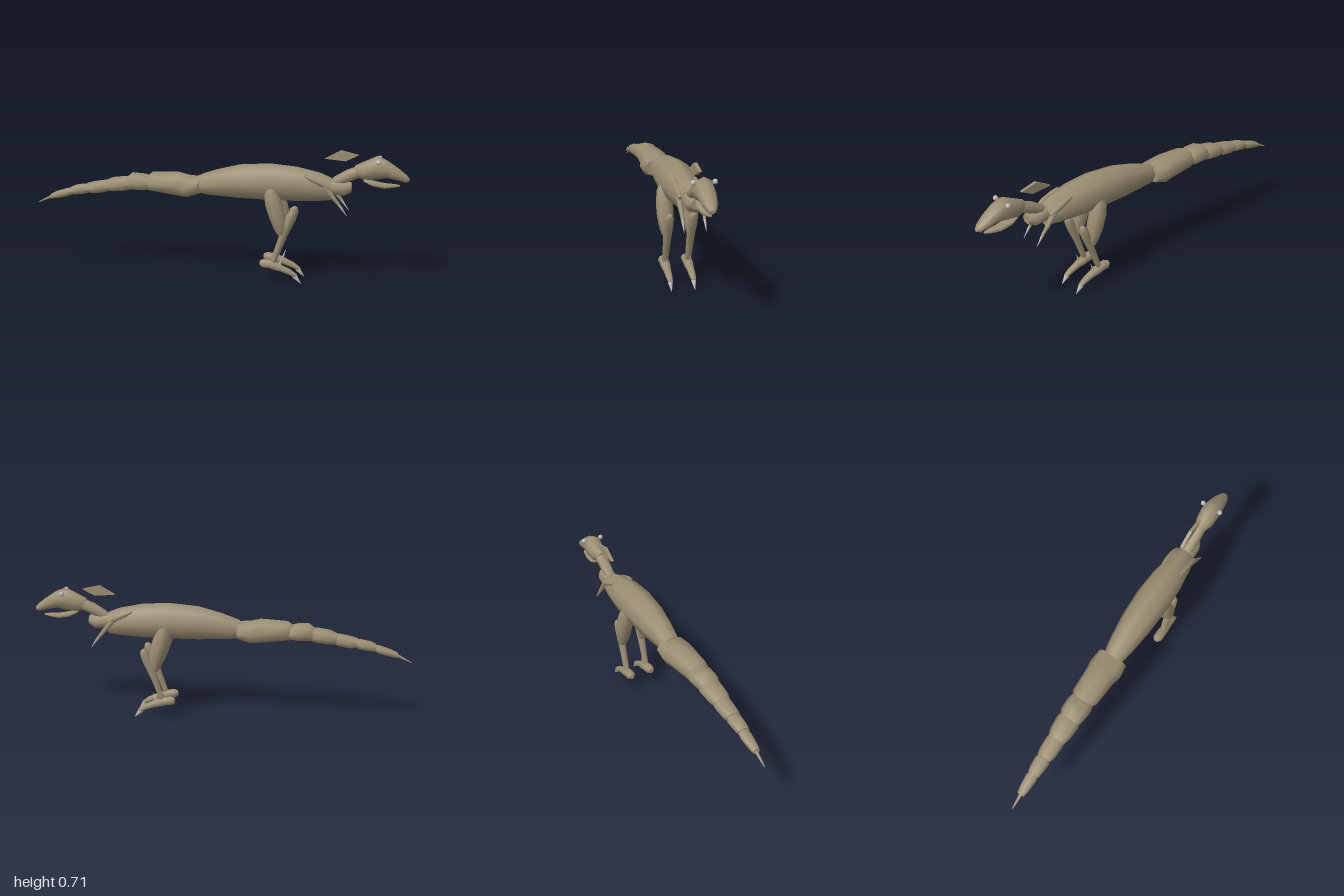
import * as THREE from 'three';

const hide = new THREE.MeshStandardMaterial({ color: 0x9a8d72 });
hide.name = 'tan hide';
const horn = new THREE.MeshStandardMaterial({ color: 0xbab7b3 });
horn.name = 'pale horn';

const SIDES = 8;

// Skin over rings [x, y, radius in the xy plane, radius along z], with capped ends.
// Upright rings stay vertical; the others turn with the path.
function loft(name, rings, { z = 0, upright = false, material = hide } = {}) {
  const pos = [], idx = [];
  const addRing = (i) => {
    const [x, y, r, rz] = rings[i];
    const p = rings[Math.max(i - 1, 0)], q = rings[Math.min(i + 1, rings.length - 1)];
    const n = upright ? new THREE.Vector2(0, 1) : new THREE.Vector2(p[1] - q[1], q[0] - p[0]).normalize();
    const start = pos.length / 3;
    for (let j = 0; j < SIDES; j++) {
      const a = (j / SIDES) * Math.PI * 2;
      pos.push(x + n.x * r * Math.cos(a), y + n.y * r * Math.cos(a), z + rz * Math.sin(a));
    }
    return start;
  };
  const starts = rings.map((_, i) => addRing(i));
  for (let i = 0; i < rings.length - 1; i++) {
    for (let j = 0; j < SIDES; j++) {
      const k = (j + 1) % SIDES, a = starts[i], b = starts[i + 1];
      idx.push(a + j, a + k, b + j, a + k, b + k, b + j);
    }
  }
  for (const [i, flip] of [[0, true], [rings.length - 1, false]]) {
    const s = addRing(i), c = pos.length / 3;
    pos.push(rings[i][0], rings[i][1], z);
    for (let j = 0; j < SIDES; j++) {
      const k = (j + 1) % SIDES;
      idx.push(c, s + (flip ? k : j), s + (flip ? j : k));
    }
  }
  const geo = new THREE.BufferGeometry();
  geo.setAttribute('position', new THREE.Float32BufferAttribute(pos, 3));
  geo.setIndex(idx);
  geo.computeVertexNormals();
  const mesh = new THREE.Mesh(geo, material);
  mesh.name = name;
  return mesh;
}

function createTail() {
  const tail = new THREE.Group();
  tail.name = 'tail';
  // Overlapping segments from the hips to the tip
  const segments = [
    [[-0.375, 0.492, 0.042, 0.05], [-0.35, 0.5, 0.053, 0.072], [-0.21, 0.495, 0.066, 0.08],
      [-0.16, 0.487, 0.062, 0.09], [-0.09, 0.495, 0.045, 0.082]],
    [[-0.49, 0.485, 0.036, 0.055], [-0.46, 0.497, 0.048, 0.066], [-0.4, 0.495, 0.047, 0.07], [-0.35, 0.492, 0.035, 0.06]],
    [[-0.61, 0.465, 0.03, 0.045], [-0.57, 0.473, 0.04, 0.058], [-0.5, 0.482, 0.041, 0.063], [-0.46, 0.485, 0.032, 0.05]],
    [[-0.715, 0.447, 0.026, 0.04], [-0.68, 0.45, 0.034, 0.047], [-0.62, 0.46, 0.035, 0.05], [-0.58, 0.468, 0.028, 0.04]],
    [[-0.81, 0.425, 0.021, 0.032], [-0.78, 0.432, 0.028, 0.038], [-0.73, 0.44, 0.029, 0.041], [-0.69, 0.448, 0.022, 0.03]],
    [[-0.925, 0.387, 0.014, 0.02], [-0.89, 0.398, 0.021, 0.027], [-0.83, 0.415, 0.023, 0.032], [-0.79, 0.427, 0.018, 0.025]],
    [[-1, 0.349, 0.002, 0.003], [-0.93, 0.383, 0.009, 0.009], [-0.9, 0.394, 0.012, 0.014]],
  ];
  segments.forEach((rings, i) => tail.add(loft('tailSegment' + (i + 1), rings, { upright: true })));
  return tail;
}

function createHead() {
  const head = new THREE.Group();
  head.name = 'head';
  head.add(loft('skull', [
    [0.72, 0.612, 0.03, 0.025], [0.77, 0.617, 0.05, 0.045], [0.83, 0.634, 0.062, 0.052],
    [0.88, 0.63, 0.046, 0.047], [0.94, 0.604, 0.032, 0.037], [0.98, 0.584, 0.021, 0.024], [0.995, 0.579, 0.009, 0.01],
  ], { upright: true }));
  head.add(loft('lowerJaw', [
    [0.765, 0.567, 0.007, 0.02], [0.81, 0.552, 0.014, 0.034], [0.87, 0.541, 0.015, 0.027],
    [0.92, 0.544, 0.01, 0.018], [0.95, 0.546, 0.004, 0.008],
  ], { upright: true }));
  for (const s of [1, -1]) {
    const eye = new THREE.Mesh(new THREE.SphereGeometry(0.013, 16, 12), horn);
    eye.name = 'eye';
    eye.position.set(0.84, 0.673, s * 0.051);
    head.add(eye);
  }
  return head;
}

function createArm(side) {
  const arm = new THREE.Group(), z = side * 0.054;
  arm.name = 'arm';
  arm.add(loft('upperArm', [
    [0.465, 0.588, 0.006, 0.008], [0.5, 0.573, 0.014, 0.015], [0.56, 0.548, 0.018, 0.016], [0.6, 0.53, 0.009, 0.009],
  ], { z }));
  arm.add(loft('forearm', [
    [0.55, 0.555, 0.008, 0.01], [0.575, 0.53, 0.015, 0.015], [0.62, 0.475, 0.012, 0.011], [0.655, 0.435, 0.007, 0.007],
  ], { z }));
  arm.add(loft('handClaw', [[0.648, 0.443, 0.008, 0.008], [0.69, 0.385, 0.001, 0.001]], { z, material: horn }));
  return arm;
}

function createLeg(side) {
  const leg = new THREE.Group(), z = side * 0.06;
  leg.name = 'leg';
  leg.add(loft('thigh', [
    [0.295, 0.522, 0.018, 0.02], [0.296, 0.49, 0.037, 0.035], [0.312, 0.43, 0.046, 0.044],
    [0.333, 0.36, 0.043, 0.043], [0.348, 0.3, 0.034, 0.032], [0.352, 0.268, 0.018, 0.022],
  ], { z: side * 0.064 }));
  leg.add(loft('shin', [
    [0.41, 0.386, 0.012, 0.014], [0.404, 0.37, 0.024, 0.024], [0.388, 0.325, 0.026, 0.025],
    [0.35, 0.225, 0.018, 0.02], [0.31, 0.11, 0.015, 0.016],
  ], { z }));
  leg.add(loft('foot', [
    [0.243, 0.105, 0.014, 0.014], [0.26, 0.104, 0.024, 0.026], [0.3, 0.1, 0.024, 0.027], [0.33, 0.09, 0.023, 0.025],
    [0.36, 0.08, 0.019, 0.02], [0.4, 0.064, 0.016, 0.018], [0.435, 0.044, 0.011, 0.013],
  ], { z }));
  // Toe claw swells a little before its point
  leg.add(loft('toeClaw', [
    [0.415, 0.055, 0.008, 0.008], [0.43, 0.04, 0.014, 0.013], [0.462, 0.003, 0.001, 0.001],
  ], { z, material: horn }));
  leg.add(loft('sickleClaw', [[0.342, 0.09, 0.008, 0.007], [0.361, 0.146, 0.001, 0.001]], { z, material: horn }));
  return leg;
}

export function createModel() {
  const model = new THREE.Group();
  model.name = 'raptor';

  model.add(loft('body', [
    [-0.1, 0.5, 0.048, 0.05], [-0.06, 0.504, 0.06, 0.06], [0, 0.513, 0.072, 0.07], [0.12, 0.526, 0.091, 0.085],
    [0.28, 0.532, 0.098, 0.093], [0.42, 0.528, 0.092, 0.086], [0.54, 0.519, 0.076, 0.068], [0.6, 0.511, 0.06, 0.052],
  ], { upright: true }));
  model.add(createTail());

  // Neck in a low and a rising piece
  model.add(loft('lowerNeck', [
    [0.57, 0.53, 0.035, 0.04], [0.62, 0.522, 0.04, 0.048], [0.67, 0.517, 0.04, 0.045], [0.705, 0.525, 0.026, 0.028],
  ], { upright: true }));
  model.add(loft('upperNeck', [
    [0.59, 0.535, 0.015, 0.02], [0.63, 0.555, 0.027, 0.03], [0.69, 0.587, 0.032, 0.033], [0.77, 0.622, 0.03, 0.03],
  ]));
  model.add(createHead());

  // Slanted crest plate floating behind the head
  const outline = new THREE.Shape([[0.563, 0.668], [0.67, 0.66], [0.735, 0.693], [0.645, 0.714]]
    .map(([x, y]) => new THREE.Vector2(x, y)));
  const crest = new THREE.Mesh(new THREE.ExtrudeGeometry(outline, { depth: 0.017, bevelEnabled: false }), hide);
  crest.name = 'crest';
  crest.position.z = -0.017;
  model.add(crest);

  for (const side of [1, -1]) model.add(createArm(side), createLeg(side));
  return model;
}
